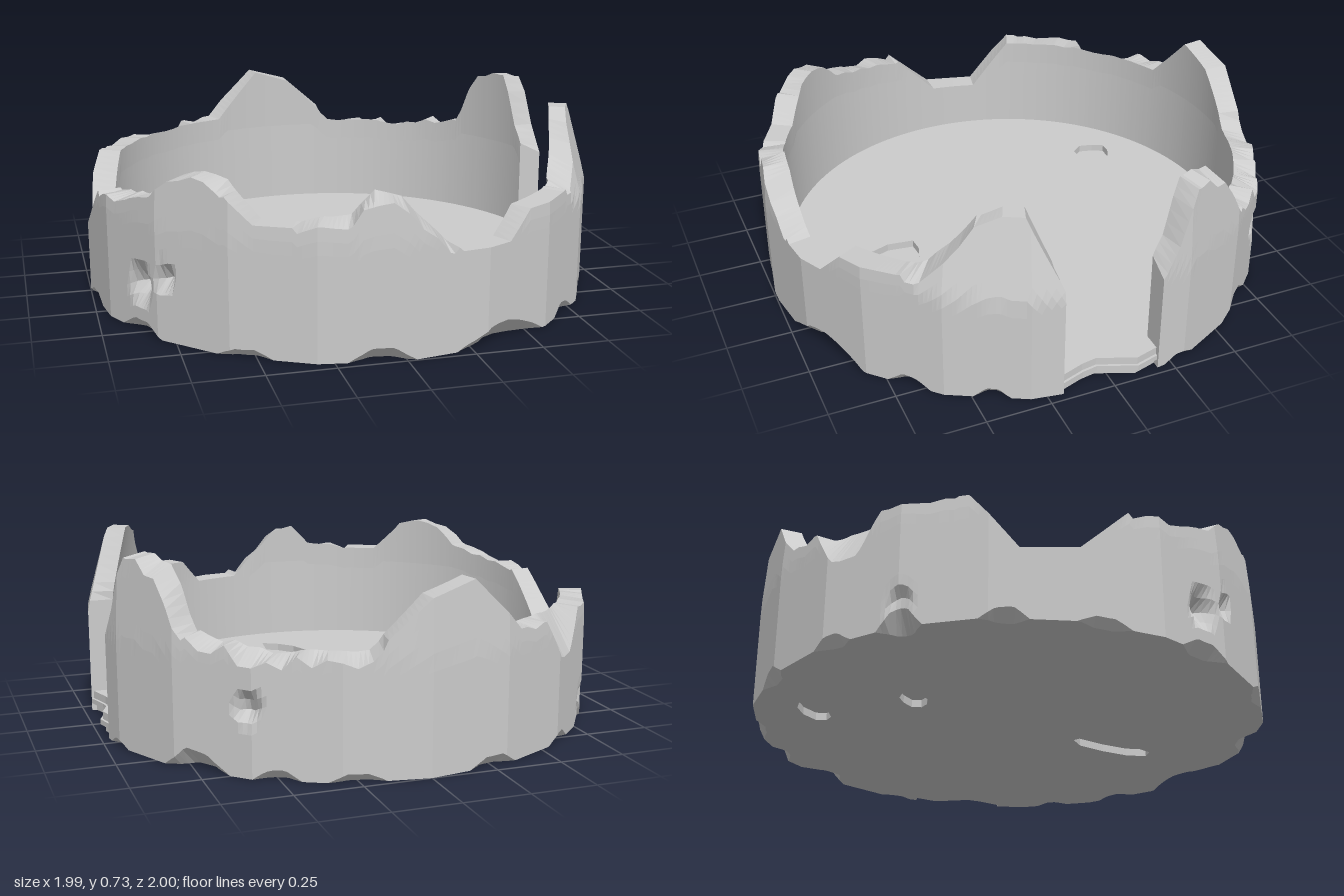
import * as THREE from 'three';

const D = Math.PI / 180;
// broken rim: [angle in degrees from +x towards +z, height]
const RIM = [
  [11, .45], [19, .72], [24, .72], [30, .68], [36, .58], [41, .5], [46, .48], [60, .47], [66, .37], [78, .37],
  [82, .43], [87, .5], [90, .57], [96, .59], [101, .51], [107, .5], [112, .48], [121, .48], [129, .6], [135, .62],
  [141, .6], [146, .53], [155, .49], [169, .46], [180, .28], [192, .27], [202, .48], [248, .48], [260, .68],
  [270, .63], [282, .45], [298, .43], [310, .45], [322, .47], [326, .6], [330, .71], [340, .72], [342, .65],
  [345, .51], [349, .43]];
// chips along the foot: [angle, half width, height]
const CHIPS = [[150, 7, .05], [123, 6, .04], [95, 7, .06], [67, 12, .09], [44, 5, .05], [26, 4, .04], [343, 4, .03],
  [319, 8, .08], [216, 5, .08], [232, 5, .04], [255, 6, .05], [285, 6, .04], [301, 5, .05], [195, 5, .05], [175, 6, .04]];
// dents in the outer face: [angle, height, radius, depth]
const DENTS = [[150, .18, .075, .08], [142, .24, .05, .06], [307, .25, .06, .06], [216, .1, .06, .04]];
// stretches with a rough outer edge: [from, to, size]
const ROUGH = [[80, 112, .05], [128, 168, .03], [205, 245, .02], [280, 349, .05], [30, 44, .04]];

const bump = (a, c, w) => Math.max(0, 1 - Math.abs(a - c) / w);
const hash = (i) => { const s = Math.sin(i * 127.1 + 11.7) * 43758.5453; return s - Math.floor(s); };
// piecewise linear noise with a knot every 3 degrees
const noise = (a, seed) => {
  const i = Math.floor(a / 3);
  return THREE.MathUtils.lerp(hash(i + seed), hash(i + 1 + seed), a / 3 - i);
};
const rimHeight = (a) => {
  const i = Math.max(1, RIM.findIndex((p) => p[0] >= a));
  const [a0, h0] = RIM[i - 1], [a1, h1] = RIM[i];
  return h0 + (h1 - h0) * (a - a0) / (a1 - a0);
};
// radius of a regular 20-sided plan
const facet = (a) => Math.cos(9 * D) / Math.cos((((a % 18) + 18) % 18 - 9) * D);

// one radial cross-section of the wall, from outer foot over the top to inner foot
function wallSection(a) {
  const rough = ROUGH.reduce((s, [f, t, k]) => (a >= f && a <= t ? k : s), 0);
  const h = rimHeight(a) + (noise(a, 5) - .5) * rough * .5;
  const drop = noise(a, 90) * rough + .14 * Math.min(1, 1.6 * bump(a, 230, 9));
  const chip = Math.max(...CHIPS.map(([c, w, k]) => k * Math.min(1, 1.5 * bump(a, c, w)) * (.7 + .3 * noise(a, 40))));
  const lean = (y) => Math.max(0, y - .42) * (a < 42 ? .28 : .06);
  const R = facet(a), section = [[R - Math.min(.085, chip), 0]];
  const top = h - drop, rows = 10;
  for (let i = 0; i <= rows; i++) {
    const y = chip + (top - chip) * i / rows;
    let r = R - lean(y);
    for (const [c, dy, size, depth] of DENTS)
      r -= depth * Math.max(0, 1 - Math.hypot((a - c) * D, y - dy) / size);
    section.push([r, y]);
  }
  const inner = .9, bend = Math.min(.42, h * .8);
  section.push([inner - lean(h) * .7, h], [inner, bend], [inner, 0]);
  // wall ends are cut parallel to the doorway
  return section.map(([r, y]) => {
    let z = r * Math.sin(a * D), x = r * Math.cos(a * D);
    if (x > 0 && Math.abs(z) < .19) {
      z = .19 * Math.sign(z);
      x = Math.sqrt(r * r - z * z);
    }
    return [x, y, z];
  });
}

function wallGeometry() {
  const pos = [], idx = [];
  let n = 0, cols = 0;
  for (let a = 11; a <= 349; a++, cols++) {
    const s = wallSection(a);
    n = s.length;
    s.forEach((p) => pos.push(...p));
  }
  for (let j = 0; j < cols - 1; j++)
    for (let k = 0; k < n; k++) {
      const k1 = (k + 1) % n;
      const p = j * n + k, q = j * n + k1;
      idx.push(p, q, p + n, q, q + n, p + n);
    }
  // doorway jambs
  const e = (cols - 1) * n;
  for (let k = 0; k < n - 2; k++) idx.push(n - 1, k + 1, k, e + n - 1, e + k, e + k + 1);
  const g = new THREE.BufferGeometry();
  g.setAttribute('position', new THREE.Float32BufferAttribute(pos, 3));
  g.setIndex(idx);
  return g;
}

// irregular closed outline for a pit in the floor
function pit(cx, cz, rx, rz, turn = 0) {
  const path = new THREE.Path();
  const pts = [];
  for (let i = 0; i < 9; i++) {
    const t = i * 40 * D, k = .85 + .3 * hash(i + cx * 50);
    pts.push(new THREE.Vector2(rx * k * Math.cos(t), rz * k * Math.sin(t))
      .rotateAround(new THREE.Vector2(), turn).add(new THREE.Vector2(cx, cz)));
  }
  return path.setFromPoints(pts);
}

// one layer of the floor, reaching out through the doorway as a chipped threshold
function floorLayer(top, depth, holes, inset) {
  const pts = [[.96 - inset, -.19], [.985 - inset, -.1], [.93 - inset, .04], [.94 - inset, .1], [.97 - inset, .19]]
    .map(([x, z]) => new THREE.Vector2(x, z));
  for (let a = 13; a <= 347; a += 2)
    pts.push(new THREE.Vector2(.902 * Math.cos(a * D), .902 * Math.sin(a * D)));
  const shape = new THREE.Shape(pts);
  shape.holes.push(...holes);
  return new THREE.ExtrudeGeometry(shape, { depth, bevelEnabled: false })
    .rotateX(Math.PI / 2).translate(0, top, 0);
}

export function createModel() {
  const model = new THREE.Group();
  const stone = new THREE.MeshStandardMaterial({ color: 0xcccccc, flatShading: true });
  const add = (name, geometry) => {
    const mesh = new THREE.Mesh(geometry, stone);
    mesh.name = name;
    model.add(mesh);
  };
  add('brokenRoundWall', wallGeometry());

  // floor with worn pits above and below, and one small hole right through
  const hole = () => pit(.055, .615, .018, .018);
  add('floorTop', floorLayer(.08, .03, [pit(-.4, -.58, .07, .08), pit(.04, .55, .08, .16, -.25)], .01));
  add('floorMiddle', floorLayer(.05, .02, [hole()], 0));
  add('floorUnderside', floorLayer(.03, .03,
    [pit(0, -.77, .1, .05, .6), pit(-.2, -.42, .08, .05, .6), pit(.1, .46, .06, .17, -.3)], .02));
  return model;
}
